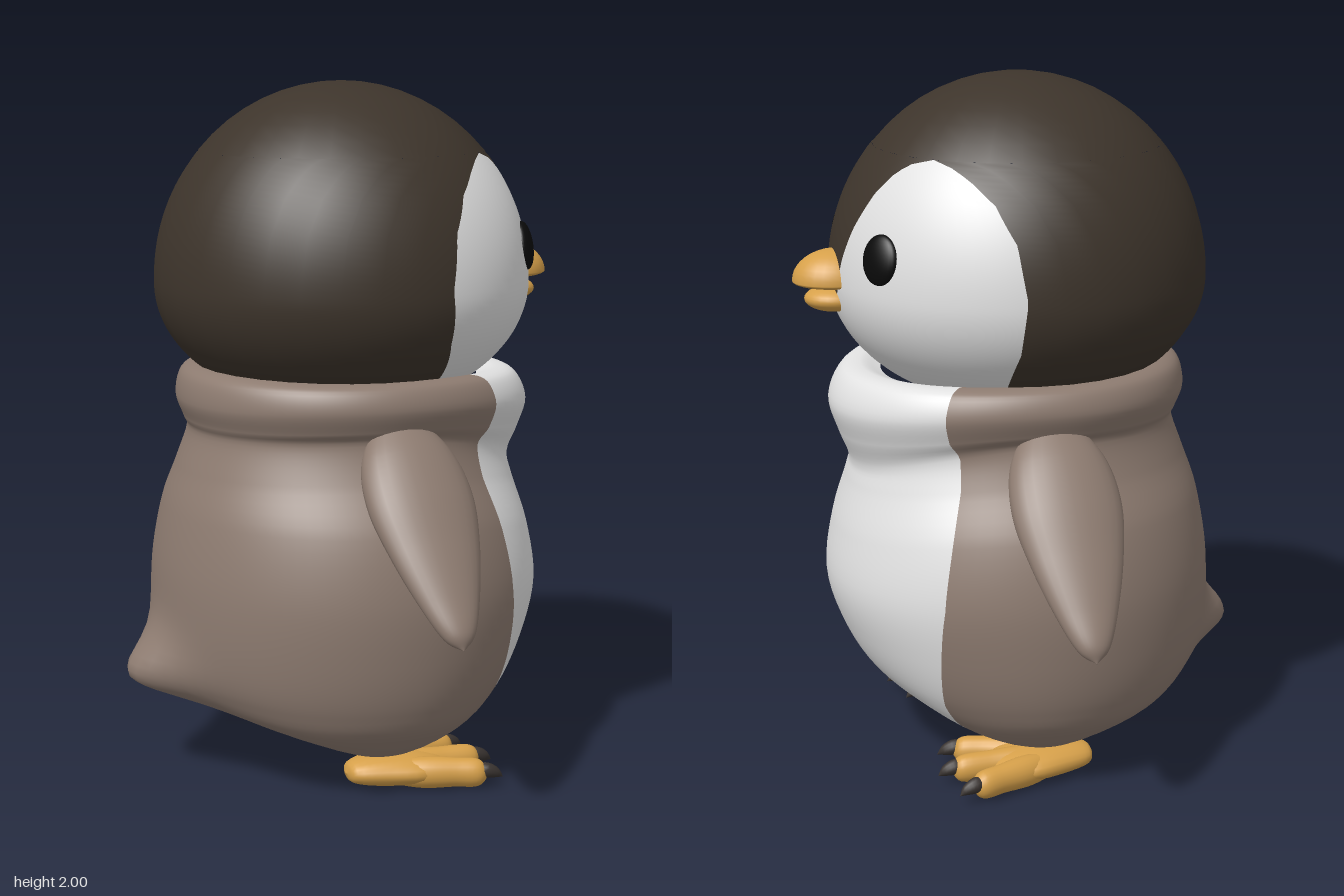
import * as THREE from 'three';

const material = (name, color) => Object.assign(new THREE.MeshStandardMaterial({ color }), { name });
const TAU = Math.PI * 2;
const rad = THREE.MathUtils.degToRad;

// Grid over surf(phi, t); t runs top to bottom, phi between two limits that may vary with t.
function patch(surf, from, to, t0, t1, nPhi, nT) {
  const pos = [], nor = [], idx = [];
  const e = 1e-3;
  for (let i = 0; i <= nT; i++) {
    const t = t0 + (t1 - t0) * i / nT;
    const a = from(t), b = to(t);
    const tc = THREE.MathUtils.clamp(t, 0.004, 0.996);
    for (let j = 0; j <= nPhi; j++) {
      const phi = a + (b - a) * j / nPhi;
      pos.push(...surf(phi, t).toArray());
      const dPhi = surf(phi + e, tc).sub(surf(phi - e, tc));
      const dT = surf(phi, tc + e).sub(surf(phi, tc - e));
      nor.push(...dPhi.cross(dT).normalize().toArray());
      if (i < nT && j < nPhi) {
        const p = i * (nPhi + 1) + j, q = p + nPhi + 1;
        idx.push(p, p + 1, q, p + 1, q + 1, q);
      }
    }
  }
  const g = new THREE.BufferGeometry();
  g.setAttribute('position', new THREE.Float32BufferAttribute(pos, 3));
  g.setAttribute('normal', new THREE.Float32BufferAttribute(nor, 3));
  g.setIndex(idx);
  return g;
}
const full = [() => 0, () => TAU];

// Linear lookup in a table of [key, value], keys ascending.
function lookup(table, k) {
  if (k <= table[0][0]) return table[0][1];
  for (let i = 1; i < table.length; i++) {
    const [k0, v0] = table[i - 1], [k1, v1] = table[i];
    if (k <= k1) return v0 + (v1 - v0) * (k - k0) / (k1 - k0);
  }
  return table[table.length - 1][1];
}

const spline = (pts) => new THREE.CatmullRomCurve3(pts.map((p) => new THREE.Vector3(...p)), false, 'catmullrom', 0.5);

// Elliptical loft along rows of [x, y, z, halfWidth, halfThickness].
function loft(rows, wAxis, nPhi = 20, nT = 20) {
  const path = spline(rows.map((r) => r.slice(0, 3)));
  const size = spline(rows.map((r) => [r[3], r[4], 0]));
  const surf = (phi, t) => {
    const u = THREE.MathUtils.clamp(t, 0, 1);
    const tan = path.getTangent(u);
    const w = wAxis.clone().addScaledVector(tan, -wAxis.dot(tan)).normalize();
    const n = tan.clone().cross(w);
    const s = size.getPoint(u);
    return path.getPoint(u)
      .addScaledVector(w, Math.max(0, s.x) * Math.cos(phi))
      .addScaledVector(n, Math.max(0, s.y) * Math.sin(phi));
  };
  return patch(surf, ...full, 0, 1, nPhi, nT);
}

// Body sections: [frontY, frontR, backY, backR, sideY, sideR]
const BODY = [
  [1.15, 0.40, 1.18, 0.36, 1.18, 0.38],
  [1.17, 0.46, 1.195, 0.42, 1.19, 0.42],
  [1.15, 0.52, 1.17, 0.47, 1.175, 0.465],
  [1.07, 0.555, 1.10, 0.485, 1.12, 0.485],
  [0.98, 0.53, 1.04, 0.465, 1.06, 0.465],
  [0.90, 0.50, 1.00, 0.455, 1.02, 0.445],
  [0.84, 0.51, 0.90, 0.49, 0.92, 0.475],
  [0.70, 0.55, 0.78, 0.53, 0.78, 0.55],
  [0.54, 0.57, 0.60, 0.56, 0.60, 0.59],
  [0.40, 0.53, 0.42, 0.56, 0.42, 0.585],
  [0.28, 0.46, 0.30, 0.53, 0.28, 0.555],
  [0.20, 0.36, 0.22, 0.45, 0.20, 0.50],
  [0.16, 0.22, 0.18, 0.25, 0.16, 0.36],
  [0.15, 0.10, 0.16, 0.10, 0.15, 0.15],
  [0.145, 0, 0.145, 0, 0.145, 0],
];
const heights = spline(BODY.map((r) => [r[0], r[2], r[4]]));
const radii = spline(BODY.map((r) => [r[1], r[3], r[5]]));
function bodySurface(phi, t) {
  const h = heights.getPoint(t), r = radii.getPoint(t);
  const c = Math.cos(phi), s = Math.sin(phi);
  let x = c * (c > 0 ? r.x : r.y);
  let y = c * c * (c > 0 ? h.x : h.y) + s * s * h.z;
  const z = s * r.z;
  // pointed tail
  if (c < 0) {
    const k = (y - 0.3) / (y > 0.3 ? 0.11 : 0.065);
    x -= 0.13 * Math.exp(-((s / 0.27) ** 2) - k * k);
  }
  // thighs bulging downwards
  const low = 1 - THREE.MathUtils.smoothstep(y, 0.28, 0.5);
  y -= 0.07 * low * Math.exp(-((x / 0.25) ** 2) - ((Math.abs(z) - 0.36) / 0.12) ** 2);
  return new THREE.Vector3(x, y, z);
}
const BIB = [56, 56, 56, 56, 56, 58, 58, 56, 54, 50, 46, 45, 52, 65, 75].map((d, i) => [i / 14, rad(d)]);
const bib = (t) => lookup(BIB, t);

// Head: rounded dome with a flatter lower half
const HEAD_END = rad(150), HEAD_Y = 1.43;
const headY = (t) => {
  const c = Math.cos(t * HEAD_END);
  return HEAD_Y + c * (c > 0 ? 0.57 : 0.38);
};
const headSurface = (phi, t) => {
  const r = 0.545 * Math.sin(t * HEAD_END);
  return new THREE.Vector3(r * Math.cos(phi), headY(t), r * Math.sin(phi));
};
// Face edge angles in degrees by height
const OUTER = [[1.1, 69], [1.18, 71], [1.3, 76], [1.45, 78], [1.6, 75], [1.7, 68], [1.75, 60], [1.78, 53], [1.795, 47], [1.802, 42]];
const INNER = [[1.37, 0], [1.4, 7], [1.5, 10.5], [1.6, 15], [1.7, 21], [1.75, 26], [1.78, 31], [1.795, 36], [1.802, 42]];
const outer = (t) => rad(lookup(OUTER, headY(t)));
const inner = (t) => rad(lookup(INNER, headY(t)));

export function createModel() {
  const dark = material('dark brown', 0x3d342b);
  const grey = material('grey brown', 0x8d7b70);
  const white = material('white', 0xe2e2e2);
  const orange = material('orange', 0xd6a04a);
  const black = material('black', 0x0a0a0a);
  const claw = material('claw grey', 0x3a3431);

  const model = new THREE.Group();
  model.name = 'penguinChick';
  const add = (name, geo, mat, parent = model) => {
    const m = new THREE.Mesh(geo, mat);
    m.name = name;
    parent.add(m);
    return m;
  };

  // body
  add('bib', patch(bodySurface, (t) => -bib(t), bib, 0, 1, 40, 70), white);
  add('coat', patch(bodySurface, bib, (t) => TAU - bib(t), 0, 1, 64, 70), grey);

  // head
  const lobe = Math.acos((1.802 - HEAD_Y) / 0.57) / HEAD_END;
  add('crown', patch(headSurface, ...full, 0, lobe, 28, 8), dark);
  add('headBack', patch(headSurface, outer, (t) => TAU - outer(t), lobe, 1, 18, 48), dark);
  add('foreheadStripe', patch(headSurface, (t) => -inner(t), inner, lobe, 1, 8, 48), dark);
  for (const s of [1, -1]) {
    const [a, b] = s > 0 ? [inner, outer] : [(t) => -outer(t), (t) => -inner(t)];
    add(s > 0 ? 'leftFace' : 'rightFace', patch(headSurface, a, b, lobe, 1, 14, 48), white);
  }

  // beak
  const ball = (name, x, y, z, sx, sy, sz, mat) => {
    const m = add(name, new THREE.SphereGeometry(1, 28, 18), mat);
    m.position.set(x, y, z);
    m.scale.set(sx, sy, sz);
    return m;
  };
  const upper = add('upperBeak', new THREE.SphereGeometry(1, 28, 10, 0, TAU, 0, Math.PI / 2), orange);
  upper.position.set(0.53, 1.43, 0);
  upper.scale.set(0.125, 0.09, 0.105);
  const palate = add('upperBeakUnderside', new THREE.SphereGeometry(1, 28, 10, 0, TAU, Math.PI / 2, Math.PI / 2), orange);
  palate.position.copy(upper.position);
  palate.scale.set(0.125, 0.02, 0.105);
  ball('lowerBeak', 0.53, 1.378, 0, 0.092, 0.038, 0.08, orange);

  const X = new THREE.Vector3(1, 0, 0);
  for (const s of [1, -1]) {
    const side = s > 0 ? 'left' : 'right';
    // eye
    const eye = ball(side + 'Eye', 0.457, 1.535, s * 0.272, 0.064, 0.07, 0.025, black);
    eye.lookAt(0.457 + 0.457, 1.535 + 0.09, s * 0.272 * 2);

    // flipper
    add(side + 'Flipper', loft([
      [0.01, 1.06, s * 0.39, 0.08, 0.05],
      [0.01, 0.97, s * 0.47, 0.14, 0.075],
      [0.01, 0.87, s * 0.56, 0.155, 0.075],
      [0.01, 0.76, s * 0.655, 0.13, 0.06],
      [0.01, 0.65, s * 0.745, 0.088, 0.045],
      [0.01, 0.57, s * 0.81, 0.045, 0.03],
      [0.01, 0.538, s * 0.837, 0, 0],
    ], X, 28, 36), grey);

    // foot with three clawed toes
    const foot = new THREE.Group();
    foot.name = side + 'Foot';
    foot.position.z = s * 0.355;
    model.add(foot);
    const Z = new THREE.Vector3(0, 0, 1);
    add('sole', loft([
      [-0.13, 0.055, 0, 0, 0],
      [-0.11, 0.055, 0, 0.05, 0.03],
      [-0.03, 0.055, 0, 0.085, 0.045],
      [0.07, 0.053, 0, 0.11, 0.045],
      [0.15, 0.05, 0, 0.085, 0.03],
      [0.19, 0.05, 0, 0, 0],
    ], Z), orange, foot);
    for (const k of [-1, 0, 1]) {
      const end = k ? 0.265 : 0.295, z = k * 0.13;
      add('toe', loft([
        [-0.02, 0.052, k * 0.03, 0.02, 0.03],
        [0.08, 0.05, k * 0.065, 0.042, 0.045],
        [0.17, 0.05, k * 0.1, 0.037, 0.042],
        [end - 0.03, 0.047, z - k * 0.008, 0.034, 0.038],
        [end, 0.046, z, 0, 0],
      ], Z), orange, foot);
      add('claw', loft([
        [end - 0.04, 0.06, z - k * 0.01, 0.012, 0.012],
        [end - 0.015, 0.056, z, 0.022, 0.022],
        [end + 0.015, 0.046, z + k * 0.006, 0.016, 0.016],
        [end + 0.037, 0.032, z + k * 0.012, 0, 0],
      ], Z, 12, 10), claw, foot);
    }
  }
  return model;
}
